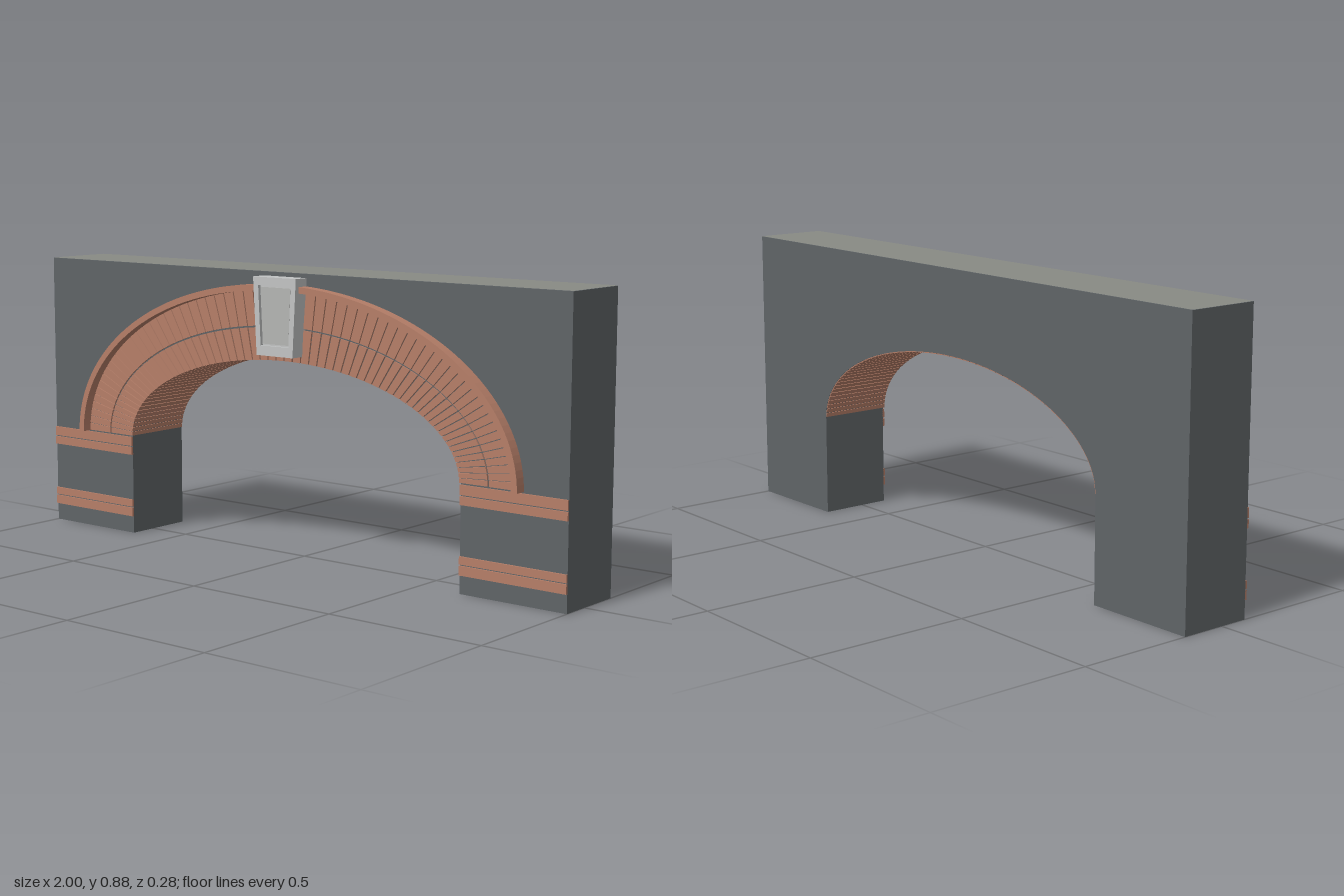
import * as THREE from 'three';
import { mergeGeometries } from 'three/addons/utils/BufferGeometryUtils.js';

const mat = (name, color) => {
  const m = new THREE.MeshStandardMaterial({ color });
  m.name = name;
  return m;
};

const SPRING = 0.32; // height where the arch starts
const BACK = -0.14, FACE = 0.09, BRICK_FACE = 0.095;

// Point on a half ellipse above the springing line
const onArch = (a, b, t) => new THREE.Vector2(a * Math.cos(t), SPRING + b * Math.sin(t));

const arc = (a, b, t0, t1, n) =>
  Array.from({ length: n + 1 }, (_, i) => onArch(a, b, t0 + ((t1 - t0) * i) / n));

const extrude = (shape, z0, z1) =>
  new THREE.ExtrudeGeometry(shape, { depth: z1 - z0, bevelEnabled: false }).translate(0, 0, z0);

// Piece of an elliptical ring between two [a, b] ellipses
const ringPiece = (inner, outer, t0, t1, z0, z1, n = 1) =>
  extrude(new THREE.Shape([...arc(...outer, t0, t1, n), ...arc(...inner, t1, t0, n)]), z0, z1);

// Row of separate bricks around the arch
function brickCourse(inner, outer, z0, z1, count, gap) {
  const step = Math.PI / count;
  const bricks = [];
  for (let i = 0; i < count; i++) {
    bricks.push(ringPiece(inner, outer, (i + gap / 2) * step, (i + 1 - gap / 2) * step, z0, z1));
  }
  return mergeGeometries(bricks);
}

// Tapered block outline
const taper = (y0, w0, y1, w1) => [
  new THREE.Vector2(-w0, y0), new THREE.Vector2(w0, y0),
  new THREE.Vector2(w1, y1), new THREE.Vector2(-w1, y1),
];

export function createModel() {
  const slate = mat('slate wall', 0x5f6467);
  const coping = mat('wall top grey', 0x888a84);
  const brick = mat('brick', 0xb57e68);
  const stone = mat('light stone', 0xc2c4c4);
  const panelStone = mat('panel stone', 0xb4b5b3);

  const model = new THREE.Group();
  model.name = 'archway';
  const add = (name, geometry, material, parent = model) => {
    const mesh = new THREE.Mesh(geometry, material);
    mesh.name = name;
    parent.add(mesh);
    return mesh;
  };

  // Wall with the arched opening
  const wall = new THREE.Shape([
    new THREE.Vector2(-1, 0), new THREE.Vector2(-0.645, 0),
    ...arc(0.645, 0.297, Math.PI, 0, 64),
    new THREE.Vector2(0.645, 0), new THREE.Vector2(1, 0),
    new THREE.Vector2(1, 0.879), new THREE.Vector2(-1, 0.879),
  ]);
  add('wall', extrude(wall, BACK, FACE), slate);
  add('wallTop', new THREE.PlaneGeometry(2, FACE - BACK).rotateX(-Math.PI / 2)
    .translate(0, 0.88, (FACE + BACK) / 2), coping);

  // Brick arch: soffit lining, two face courses and the raised outer moulding
  const arch = new THREE.Group();
  arch.name = 'brickArch';
  model.add(arch);
  const soffit = [0.642, 0.294], soffitBack = [0.646, 0.298];
  const middle = [0.738, 0.393], middleOuter = [0.743, 0.398];
  const rim = [0.835, 0.506], rimOuter = [0.855, 0.525];
  add('soffitBricks', brickCourse(soffit, soffitBack, BACK + 0.001, FACE, 64, 0.14), brick, arch);
  add('innerCourse', brickCourse(soffit, middle, FACE, BRICK_FACE, 64, 0.14), brick, arch);
  add('outerCourse', brickCourse(middleOuter, rim, FACE, BRICK_FACE, 64, 0.1), brick, arch);
  add('outerMoulding', ringPiece(rim, rimOuter, 0, Math.PI, FACE, 0.125, 80), brick, arch);

  // Paired string bands across each pier
  for (const side of [-1, 1]) {
    for (const [y0, y1] of [[0.055, 0.083], [0.087, 0.11], [0.258, 0.283], [0.287, 0.316]]) {
      add(side > 0 ? 'leftBand' : 'rightBand',
        new THREE.BoxGeometry(0.355, y1 - y0, 0.007)
          .translate(side * 0.8225, (y0 + y1) / 2, FACE + 0.0025), brick);
    }
  }

  // Keystone: solid back, raised frame, recessed panel face
  const keystone = new THREE.Group();
  keystone.name = 'keystone';
  model.add(keystone);
  const outline = taper(0.632, 0.07, 0.867, 0.083);
  add('keystoneBody', extrude(new THREE.Shape(outline), FACE, 0.13), stone, keystone);
  const frame = new THREE.Shape(outline);
  frame.holes.push(new THREE.Path(taper(0.662, 0.054, 0.842, 0.063).reverse()));
  add('keystoneFrame', extrude(frame, 0.13, 0.14), stone, keystone);
  add('keystonePanel', extrude(new THREE.Shape(taper(0.667, 0.05, 0.837, 0.058)), 0.13, 0.135),
    panelStone, keystone);

  return model;
}
